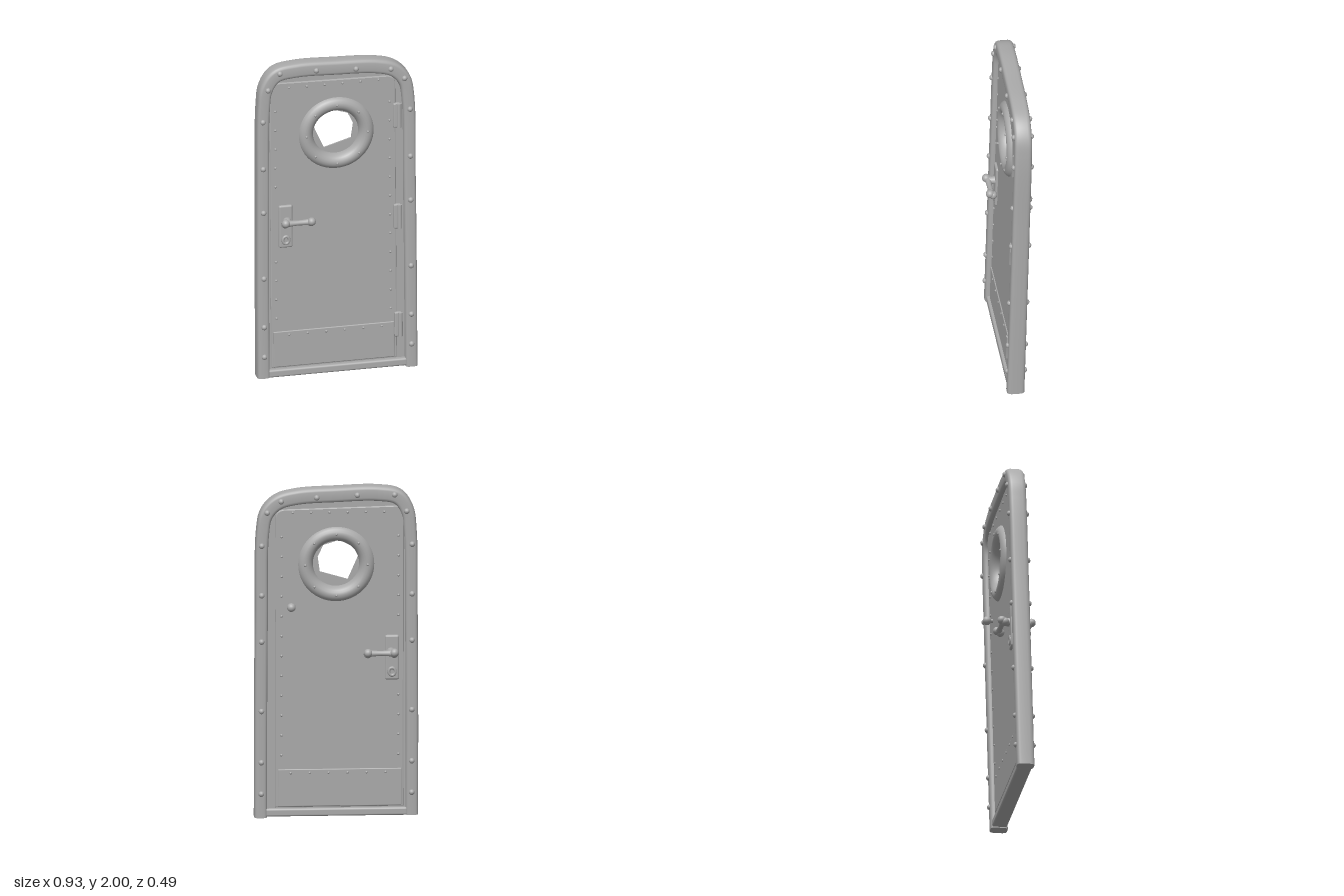
import * as THREE from 'three';
import { RoundedBoxGeometry } from 'three/addons/geometries/RoundedBoxGeometry.js';

const grey = new THREE.MeshStandardMaterial({ color: 0xaaaaaa });
grey.name = 'grey metal';

const PORT_X = 0.003, PORT_Y = 1.532;
const FRAME_Z = -0.011, FRAME_HALF = 0.052;
const LEAF_FRONT = 0.014, LEAF_BACK = -0.044;

function add(parent, name, geometry, x = 0, y = 0, z = 0) {
  const mesh = new THREE.Mesh(geometry, grey);
  mesh.name = name;
  mesh.position.set(x, y, z);
  parent.add(mesh);
  return mesh;
}

// Sweep a rounded-square section along a path in the x-y plane, wider across the top
function sweepFrame(path, steps, halfDepth) {
  const sides = 24, pos = [], idx = [];
  const soft = v => Math.sign(v) * Math.pow(Math.abs(v), 0.5);
  const ring = (u) => {
    const p = path.getPoint(u), t = path.getTangent(u);
    const halfWidth = 0.038 + 0.008 * Math.abs(t.x);
    for (let j = 0; j < sides; j++) {
      const a = (j / sides) * Math.PI * 2;
      const w = soft(Math.cos(a)) * halfWidth, d = soft(Math.sin(a)) * halfDepth;
      pos.push(p.x - t.y * w, p.y + t.x * w, d);
    }
  };
  for (let i = 0; i <= steps; i++) ring(i / steps);
  for (let i = 0; i < steps; i++) {
    for (let j = 0; j < sides; j++) {
      const a = i * sides + j, b = i * sides + (j + 1) % sides;
      idx.push(a, b, a + sides, b, b + sides, a + sides);
    }
  }
  // flat feet
  for (const u of [0, 1]) {
    const s = pos.length / 3;
    ring(u);
    for (let j = 1; j < sides - 1; j++) {
      if (u === 0) idx.push(s, s + j + 1, s + j);
      else idx.push(s, s + j, s + j + 1);
    }
  }
  const g = new THREE.BufferGeometry();
  g.setAttribute('position', new THREE.Float32BufferAttribute(pos, 3));
  g.setIndex(idx);
  g.computeVertexNormals();
  return g;
}

// Door slab with rounded top corners and a porthole opening
function slab(x0, x1, y0, y1, r, z0, z1, bevel) {
  const s = new THREE.Shape();
  s.moveTo(x0, y0);
  s.lineTo(x1, y0);
  s.lineTo(x1, y1 - r - 0.02);
  s.quadraticCurveTo(x1, y1 - 0.02, x1 - r, y1 - 0.015);
  s.lineTo(x0 + r, y1);
  s.quadraticCurveTo(x0, y1, x0, y1 - r);
  s.closePath();
  const hole = new THREE.Path();
  hole.absarc(PORT_X, PORT_Y, 0.178, 0, Math.PI * 2, true);
  s.holes.push(hole);
  const g = new THREE.ExtrudeGeometry(s, {
    depth: z1 - z0 - 2 * bevel, bevelEnabled: bevel > 0, bevelThickness: bevel,
    bevelSize: bevel, bevelOffset: -bevel, bevelSegments: 2, curveSegments: 24,
  });
  g.translate(0, 0, z0 + bevel);
  return g;
}

// Bone-shaped lever on an escutcheon plate, facing +z from a surface at z = 0
function makeHandle(name) {
  const handle = new THREE.Group();
  handle.name = name;
  add(handle, 'handlePlate', new RoundedBoxGeometry(0.084, 0.27, 0.028, 3, 0.012), -0.307, 0.965, 0);
  const post = add(handle, 'handlePost', new THREE.CylinderGeometry(0.02, 0.028, 0.05, 16), -0.3, 1.0, 0.025);
  post.rotation.x = Math.PI / 2;
  const profile = [[0.022, -0.08], [0.017, -0.04], [0.015, 0], [0.017, 0.04], [0.022, 0.08]]
    .map(([r, y]) => new THREE.Vector2(r, y));
  const shaft = add(handle, 'handleShaft', new THREE.LatheGeometry(profile, 16), -0.24, 1.0, 0.053);
  shaft.rotation.z = Math.PI / 2;
  for (const x of [-0.318, -0.162]) {
    for (const s of [-1, 1]) {
      add(handle, 'handleKnuckle', new THREE.SphereGeometry(0.025, 16, 12), x, 1.0 + s * 0.005, 0.053 + s * 0.009);
    }
  }
  const lock = add(handle, 'lockRing', new THREE.TorusGeometry(0.019, 0.008, 8, 20), -0.307, 0.88, 0.014);
  lock.scale.y = 1.2;
  return handle;
}

export function createModel() {
  const model = new THREE.Group();
  model.name = 'portholeDoor';
  const door = new THREE.Group();
  door.name = 'leaningDoor';
  model.add(door);

  // Surrounding frame
  const path = new THREE.CatmullRomCurve3([
    [-0.446, 0.012], [-0.446, 0.6], [-0.442, 1.2], [-0.435, 1.72], [-0.417, 1.85], [-0.36, 1.93],
    [-0.24, 1.954], [0, 1.95], [0.24, 1.936], [0.35, 1.904], [0.414, 1.835], [0.437, 1.72],
    [0.443, 1.2], [0.446, 0.6], [0.446, 0.004],
  ].map(([x, y]) => new THREE.Vector3(x, y, 0)));
  add(door, 'frame', sweepFrame(path, 112, FRAME_HALF), 0, 0, FRAME_Z);
  add(door, 'sill', new RoundedBoxGeometry(0.84, 0.048, 0.09, 3, 0.012), 0, 0.034, FRAME_Z);

  // Stop around the leaf, then the leaf itself
  add(door, 'doorStop', slab(-0.42, 0.42, 0.03, 1.93, 0.08, -0.036, 0.006, 0));
  add(door, 'doorLeaf', slab(-0.397, 0.362, 0.064, 1.88, 0.05, LEAF_BACK, LEAF_FRONT, 0.006));
  for (const z of [LEAF_FRONT, LEAF_BACK]) {
    add(door, 'kickPlate', new RoundedBoxGeometry(0.73, 0.225, 0.012, 2, 0.005), -0.02, 0.182, z);
  }

  // Porthole ring and broken pane
  const ring = add(door, 'portholeRing', new THREE.TorusGeometry(0.184, 0.048, 20, 56), PORT_X, PORT_Y, -0.014);
  ring.scale.z = 1.22;
  const pane = new THREE.Shape();
  pane.absarc(0, 0, 0.17, 0, Math.PI * 2, false);
  pane.holes.push(new THREE.Path([
    [-0.13, 0.04], [-0.105, 0.095], [-0.02, 0.14], [0.075, 0.11], [0.108, 0.04], [0.095, -0.05], [-0.07, -0.098],
  ].map(([x, y]) => new THREE.Vector2(x, y))));
  add(door, 'brokenPane', new THREE.ExtrudeGeometry(pane, { depth: 0.01, bevelEnabled: false, curveSegments: 24 }),
    PORT_X, PORT_Y, -0.019);

  // Hinges
  for (const y of [1.61, 0.965, 0.275]) {
    add(door, 'hingePlate', new RoundedBoxGeometry(0.045, 0.155, 0.03, 3, 0.008), 0.368, y, 0.012);
    add(door, 'hingePin', new THREE.CylinderGeometry(0.014, 0.014, 0.15, 14), 0.38, y, 0.026);
  }

  // Handles on both faces, and the rear knob
  const front = makeHandle('frontHandle');
  front.position.z = LEAF_FRONT;
  const back = makeHandle('backHandle');
  back.rotation.y = Math.PI;
  back.scale.x = -1;
  back.position.set(-0.02, 0, LEAF_BACK);
  door.add(front, back);
  add(door, 'rearKnob', new THREE.SphereGeometry(0.026, 16, 12), 0.27, 1.28, -0.078);
  const stem = add(door, 'rearKnobStem', new THREE.CylinderGeometry(0.011, 0.015, 0.04, 12), 0.27, 1.28, -0.056);
  stem.rotation.x = Math.PI / 2;

  // Rivets
  const big = new THREE.SphereGeometry(0.017, 12, 8);
  const small = new THREE.SphereGeometry(0.008, 8, 6);
  for (const side of [1, -1]) {
    const frameZ = FRAME_Z + side * (FRAME_HALF - 0.002);
    const leafZ = side > 0 ? LEAF_FRONT : LEAF_BACK;
    for (const y of [0.15, 0.34, 0.65, 1.07, 1.35, 1.65, 1.85]) {
      for (const s of [-1, 1]) add(door, 'frameRivet', big, s * (y > 1.8 ? 0.412 : 0.444), y, frameZ);
    }
    for (const x of [-0.34, -0.12, 0.12, 0.33]) {
      add(door, 'frameRivet', big, x, 1.95 - Math.max(0, x) * 0.1, frameZ);
    }
    for (let i = 0; i < 8; i++) {
      const a = (i / 8) * Math.PI * 2;
      add(door, 'portholeRivet', small, PORT_X + Math.cos(a) * 0.185, PORT_Y + Math.sin(a) * 0.185, -0.014 + side * 0.058);
    }
    for (let i = 0; i < 12; i++) {
      const y = 0.38 + i * 0.12;
      if (y < 0.8 || y > 1.12) add(door, 'leafRivet', small, -0.365, y, leafZ);
      add(door, 'leafRivet', small, 0.325, y, leafZ);
    }
    for (let i = 0; i < 6; i++) {
      add(door, 'leafRivet', small, -0.28 + i * 0.108, 1.845, leafZ);
      add(door, 'kickRivet', small, -0.29 + i * 0.112, 0.272, leafZ + side * 0.005);
    }
  }

  // Slight backward lean, with the whole door swung round
  door.rotation.x = -0.027;
  door.position.z = 0.027;
  model.rotation.y = 0.37;
  const root = new THREE.Group();
  root.name = 'door';
  root.add(model);
  return root;
}
